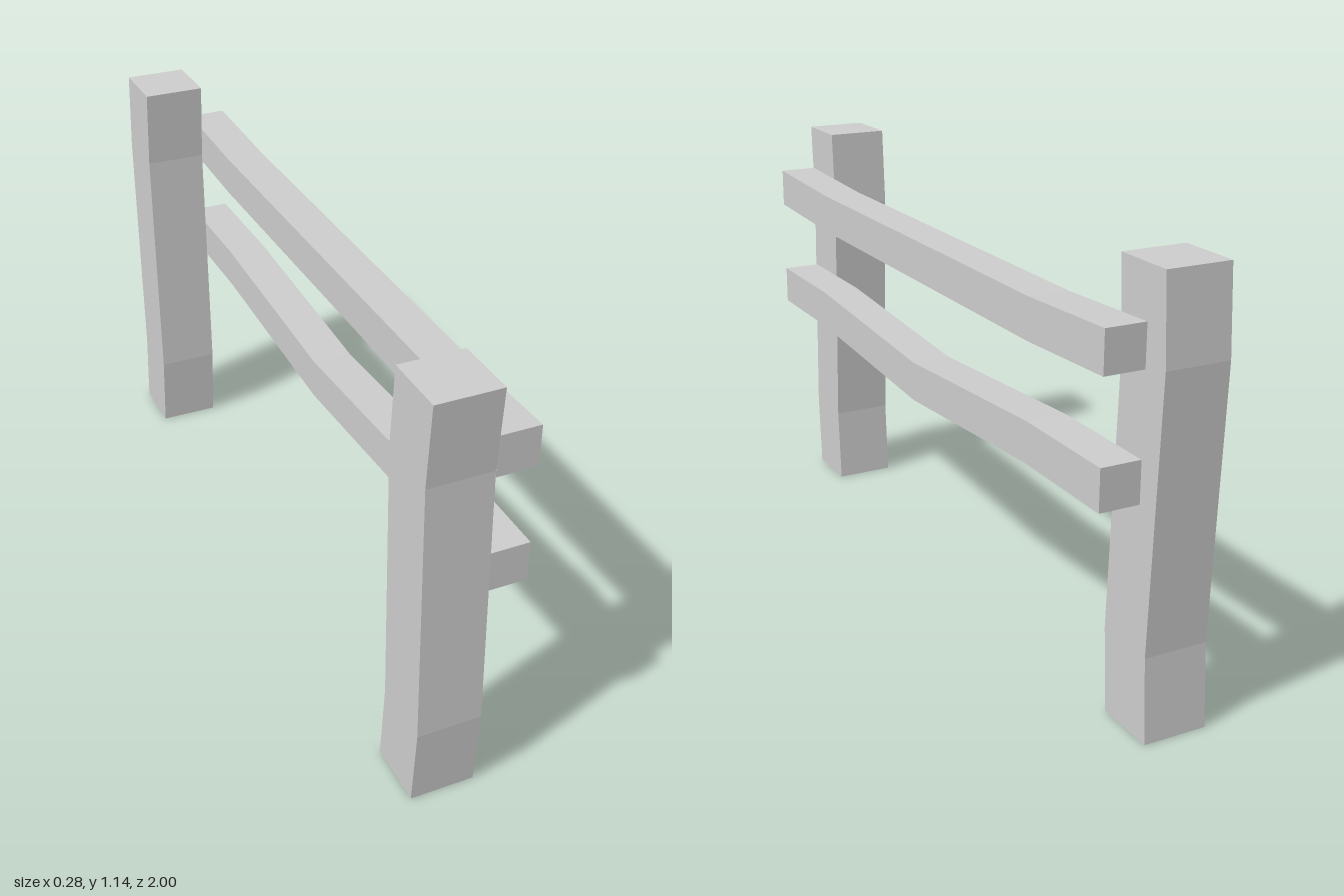
import * as THREE from 'three';

const material = new THREE.MeshStandardMaterial({ color: 0xcccccc, flatShading: true });

// Extrudes an outline of [z, y] points from x0 to x1
function beam(name, outline, x0, x1) {
  const shape = new THREE.Shape(outline.map(([z, y]) => new THREE.Vector2(-z, y)));
  const geometry = new THREE.ExtrudeGeometry(shape, { depth: x1 - x0, bevelEnabled: false });
  geometry.rotateY(Math.PI / 2).translate(x0, 0, 0);
  const mesh = new THREE.Mesh(geometry, material);
  mesh.name = name;
  return mesh;
}

// Upright post whose centre line sways along z
function post(name, z) {
  const half = 0.085;
  const sway = [[0, 0], [0.22, 0.014], [0.92, -0.014], [1.14, 0]];
  const near = sway.map(([y, s]) => [z + s + half, y]);
  const far = sway.map(([y, s]) => [z + s - half, y]).reverse();
  return beam(name, [...near, ...far], -0.14, 0.03);
}

// Horizontal rail following a bent lower edge
function rail(name, lowerEdge, height) {
  const upperEdge = lowerEdge.map(([z, y]) => [z, y + height]).reverse();
  return beam(name, [...lowerEdge, ...upperEdge], 0.03, 0.137);
}

export function createModel() {
  const fence = new THREE.Group();
  fence.name = 'fence';
  fence.add(
    post('frontPost', 0.901),
    post('backPost', -0.901),
    rail('upperRail', [[0.973, 0.903], [0.62, 0.89], [-0.6, 0.89], [-0.925, 0.903]], 0.108),
    rail('lowerRail', [[0.973, 0.585], [0.65, 0.585], [0.02, 0.546], [-0.6, 0.585], [-0.925, 0.585]], 0.108)
  );
  return fence;
}
